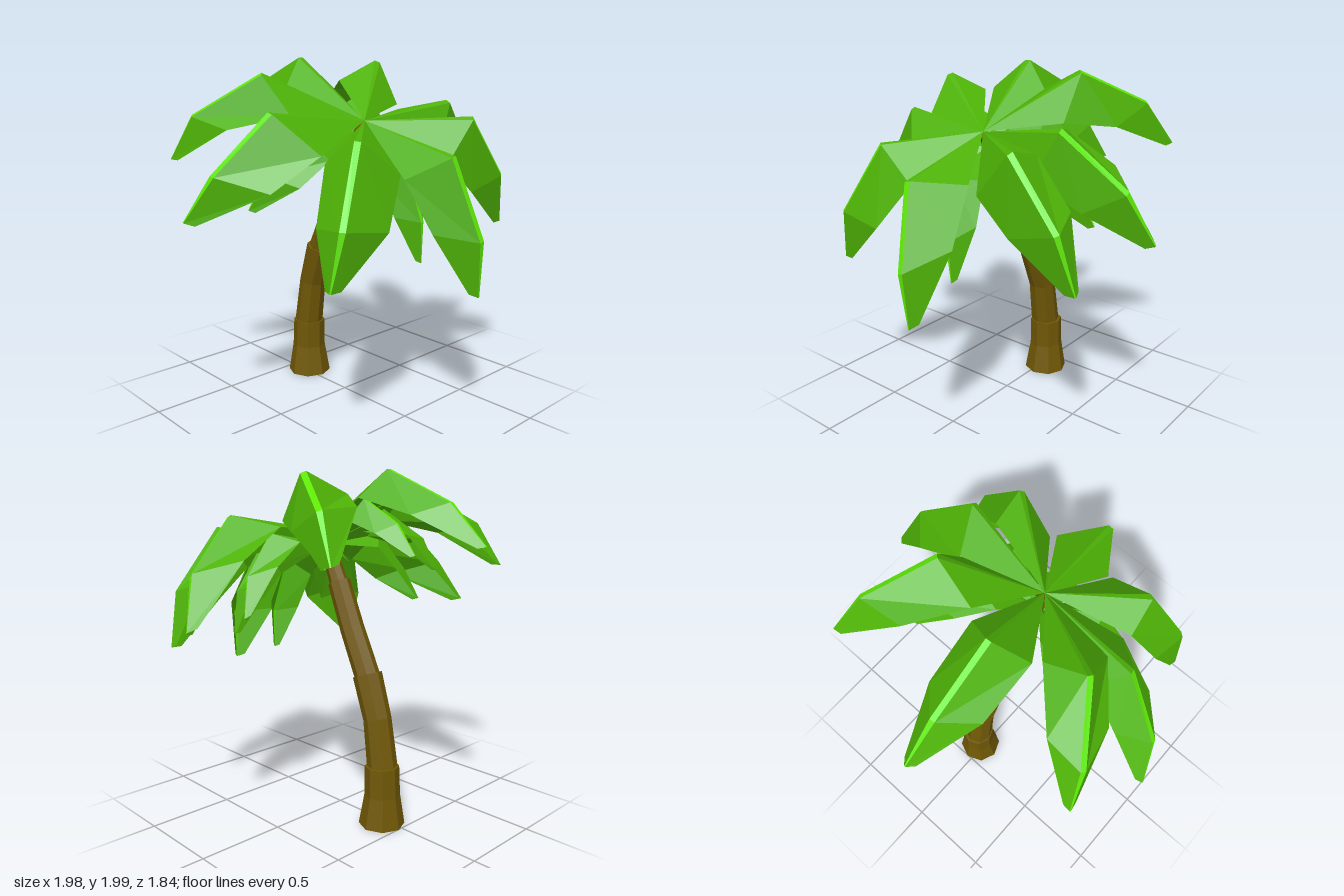
import * as THREE from 'three';

const V = (p) => new THREE.Vector3(...p);

// Flat-shaded geometry lofted through rows of points; pick() gives each strip a material index
function loft(rows, closed, pick = () => 0) {
  const buckets = [[], []];
  const n = rows[0].length;
  for (let i = 0; i < rows.length - 1; i++) {
    for (let j = 0; j < (closed ? n : n - 1); j++) {
      const k = (j + 1) % n;
      const a = rows[i][j], b = rows[i][k], c = rows[i + 1][k], d = rows[i + 1][j];
      const out = buckets[pick(i, j)];
      for (const t of [[a, c, b], [a, d, c]]) {
        const area = t[1].clone().sub(t[0]).cross(t[2].clone().sub(t[0])).length();
        if (area > 1e-8) t.forEach((p) => out.push(p.x, p.y, p.z));
      }
    }
  }
  const g = new THREE.BufferGeometry();
  g.setAttribute('position', new THREE.Float32BufferAttribute([...buckets[0], ...buckets[1]], 3));
  g.addGroup(0, buckets[0].length / 3, 0);
  if (buckets[1].length) g.addGroup(buckets[0].length / 3, buckets[1].length / 3, 1);
  g.computeVertexNormals();
  return g;
}

// Eight-sided trunk section through [x, y, z, radius] stations, open below and capped above
function trunkSection(stations) {
  const pts = stations.map((s) => V(s.slice(0, 3)));
  const rows = pts.map((c, i) => {
    const dir = pts[Math.min(i + 1, pts.length - 1)].clone().sub(pts[Math.max(i - 1, 0)]).normalize();
    if (c.y === 0) dir.set(0, 1, 0);
    const q = new THREE.Quaternion().setFromUnitVectors(new THREE.Vector3(0, 1, 0), dir);
    return Array.from({ length: 8 }, (_, j) => {
      const a = (j / 8) * Math.PI * 2;
      return new THREE.Vector3(Math.cos(a), 0, Math.sin(a)).multiplyScalar(stations[i][3]).applyQuaternion(q).add(c);
    });
  });
  return loft([...rows, Array(8).fill(pts[pts.length - 1])], true);
}

const CROWN = [-0.02, 1.65, 0.18];

// Folded frond: ridge from the crown over peak and mid to the tip, with two hanging edges
function frond([peak, mid, tip, edgeA, edgeB]) {
  const [o, p, m, t] = [CROWN, peak, mid, tip].map(V);
  const d0 = p.clone().sub(o).normalize();
  const d1 = m.clone().sub(p).normalize();
  const d2 = t.clone().sub(m).normalize();
  const bend = d0.clone().add(d1).normalize();
  const section = (c, dir, scale) => {
    const q = new THREE.Quaternion().setFromUnitVectors(bend, dir);
    const [a, b] = [edgeA, edgeB].map((e) => V(e).sub(p).multiplyScalar(scale).applyQuaternion(q));
    const half = a.clone().sub(b).multiplyScalar(0.045);
    return [c.clone().add(a), c.clone().add(half), c.clone().sub(half), c.clone().add(b)];
  };
  const rows = [
    [o, o, o, o],
    section(p, bend, 1),
    section(m, d1.clone().add(d2).normalize(), 0.92),
    section(t, d2, 0.2),
  ];
  return loft(rows, false, (i, j) => (i > 0 && j === 1 ? 1 : 0));
}

// Each frond: peak, mid, tip, one edge, other edge
const FRONDS = [
  [[-0.08, 1.99, -0.29], [-0.1, 1.82, -0.7], [-0.1, 1.61, -0.92], [-0.26, 1.83, -0.2], [0.09, 1.84, -0.23]],
  [[0.39, 1.97, -0.13], [0.6, 1.79, -0.48], [0.69, 1.55, -0.65], [0.13, 1.86, -0.19], [0.4, 1.72, 0.03]],
  [[0.56, 1.74, 0.29], [0.88, 1.46, 0.18], [0.99, 1.19, 0.07], [0.42, 1.69, 0.02], [0.44, 1.5, 0.34]],
  [[0.46, 1.66, 0.55], [0.74, 1.32, 0.56], [0.82, 1.02, 0.51], [0.45, 1.62, 0.33], [0.25, 1.42, 0.55]],
  [[0.01, 1.5, 0.78], [0.08, 1.08, 0.92], [0.1, 0.78, 0.9], [-0.14, 1.38, 0.59], [0.21, 1.47, 0.56]],
  [[-0.43, 1.59, 0.55], [-0.64, 1.2, 0.67], [-0.69, 0.91, 0.64], [-0.47, 1.47, 0.36], [-0.17, 1.41, 0.59]],
  [[-0.62, 1.71, 0.12], [-0.9, 1.41, 0.01], [-0.99, 1.17, -0.13], [-0.45, 1.5, 0.31], [-0.5, 1.61, -0.03]],
  [[-0.51, 1.9, -0.09], [-0.75, 1.68, -0.4], [-0.81, 1.44, -0.54], [-0.48, 1.69, 0.11], [-0.29, 1.82, -0.16]],
];

const TRUNK = [
  [[0.03, 0, -0.373, 0.132], [0.03, 0.18, -0.375, 0.102], [0.03, 0.35, -0.37, 0.098]],
  [[0.025, 0.33, -0.37, 0.087], [0.025, 0.62, -0.325, 0.08], [0.02, 0.86, -0.24, 0.084]],
  [[0.02, 0.83, -0.25, 0.073], [0.01, 1.1, -0.11, 0.07], [0, 1.36, 0.01, 0.066]],
  [[0, 1.33, 0, 0.055], [-0.01, 1.5, 0.09, 0.047], [-0.02, 1.63, 0.17, 0.03]],
];

export function createModel() {
  const bark = new THREE.MeshStandardMaterial({ color: 0x705806, flatShading: true, side: THREE.DoubleSide });
  bark.name = 'bark brown';
  const leaf = new THREE.MeshStandardMaterial({ color: 0x4eb206, flatShading: true, side: THREE.DoubleSide });
  leaf.name = 'leaf green';
  const ridge = new THREE.MeshStandardMaterial({ color: 0x5ee806, flatShading: true, side: THREE.DoubleSide });
  ridge.name = 'ridge bright green';

  const model = new THREE.Group();
  model.name = 'palmTree';

  // Leaning trunk of four overlapping sections
  const trunk = new THREE.Group();
  trunk.name = 'trunk';
  TRUNK.forEach((s, i) => {
    const mesh = new THREE.Mesh(trunkSection(s), bark);
    mesh.name = `trunkSection${i + 1}`;
    trunk.add(mesh);
  });
  model.add(trunk);

  // Large upper fronds, and a smaller, steeper layer repeated beneath them
  const upper = new THREE.Group();
  upper.name = 'upperFronds';
  const lower = new THREE.Group();
  lower.name = 'lowerFronds';
  FRONDS.forEach((f, i) => {
    const g = frond(f);
    const big = new THREE.Mesh(g, [leaf, ridge]);
    big.name = `upperFrond${i + 1}`;
    upper.add(big);
    const small = new THREE.Mesh(g, [leaf, ridge]);
    small.name = `lowerFrond${i + 1}`;
    lower.add(small);
  });
  lower.scale.set(0.65, 0.77, 0.57);
  lower.position.set(-0.007, 0.3, 0.03);
  model.add(upper, lower);
  return model;
}
